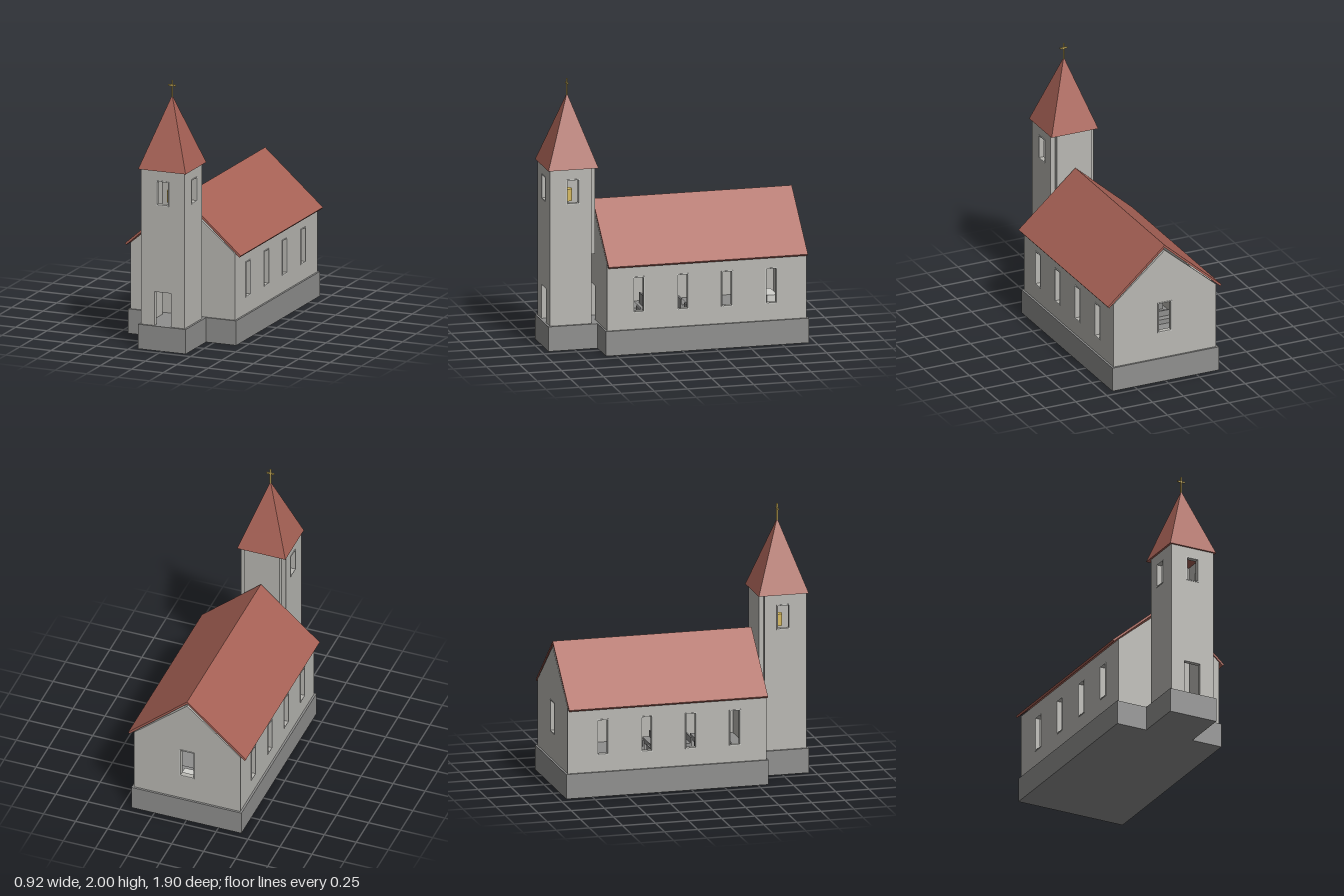
import * as THREE from 'three';

const mat = (name, color) => Object.assign(new THREE.MeshStandardMaterial({ color }), { name });

export function createModel() {
  const wall = mat('wall plaster', 0xb9b8b3);
  const stone = mat('foundation stone', 0x8f8f8e);
  const tile = mat('roof tile', 0xa86256);
  const gold = mat('gold', 0xd8bc62);
  const trim = mat('pale trim', 0xd2d2ce);

  const model = new THREE.Group();
  model.name = 'church';

  const add = (name, geometry, material, parent = model) => {
    const mesh = new THREE.Mesh(geometry, material);
    mesh.name = name;
    parent.add(mesh);
    return mesh;
  };
  // box given by its two corners
  const box = (name, material, [x0, y0, z0], [x1, y1, z1], parent) => {
    const mesh = add(name, new THREE.BoxGeometry(x1 - x0, y1 - y0, z1 - z0), material, parent);
    mesh.position.set((x0 + x1) / 2, (y0 + y1) / 2, (z0 + z1) / 2);
    return mesh;
  };
  const toPoints = (list) => list.map(([x, y]) => new THREE.Vector2(x, y));
  const rect = (x0, y0, x1, y1) => [[x0, y0], [x1, y0], [x1, y1], [x0, y1]];
  // flat panel with openings, extruded along z
  const panel = (outline, holes, depth) => {
    const shape = new THREE.Shape(toPoints(outline));
    for (const hole of holes) shape.holes.push(new THREE.Path(toPoints(hole)));
    return new THREE.ExtrudeGeometry(shape, { depth, bevelEnabled: false });
  };
  // thin surround for an opening
  const frame = (x0, y0, x1, y1) =>
    panel(rect(x0 - 0.007, y0 - 0.007, x1 + 0.007, y1 + 0.007), [rect(x0, y0, x1, y1)], 0.004);

  const T = 0.035; // wall thickness
  const FLOOR = 0.185;

  // Foundation: nave rectangle with the tower footing in front
  const footing = [[-0.19, -0.95], [0.19, -0.95], [0.19, -0.58], [0.43, -0.58],
    [0.43, 0.95], [-0.43, 0.95], [-0.43, -0.58], [-0.19, -0.58]];
  add('foundation', panel(footing, [], FLOOR).rotateX(-Math.PI / 2), stone);

  // Nave
  const nave = new THREE.Group();
  nave.name = 'nave';
  model.add(nave);
  const Z0 = -0.935, Z1 = 0.567, W = 0.415;
  const gable = [[W, FLOOR], [W, 0.685], [0, 1.04], [-W, 0.685], [-W, FLOOR]];
  // doorway gable is one outline, so the opening reaches the floor
  const doorGable = [...gable, [-0.065, FLOOR], [-0.065, 0.44], [0.065, 0.44], [0.065, FLOOR]];
  add('frontGable', panel(doorGable, [], T), wall, nave).position.z = Z1 - T;
  add('backGable', panel(gable, [rect(-0.05, 0.395, 0.05, 0.62)], T), wall, nave).position.z = Z0;
  add('backWindowFrame', frame(-0.05, 0.395, 0.05, 0.62), trim, nave).position.z = Z0 - 0.004;

  const windows = [0.33, -0.003, -0.337, -0.67].map((z) => [-z - 0.037, 0.318, -z + 0.037, 0.573]);
  for (const side of [1, -1]) {
    const sideWall = panel(rect(-Z1 + T, FLOOR, -Z0 - T, 0.685), windows.map((w) => rect(...w)), T);
    add('naveSideWall', sideWall.rotateY(Math.PI / 2), wall, nave).position.x = side > 0 ? W - T : -W;
    for (const w of windows) {
      add('naveWindowFrame', frame(...w).rotateY(Math.PI / 2), trim, nave)
        .position.x = side > 0 ? W : -W - 0.004;
    }
  }
  const roof = [[0, 1.08], [-0.46, 0.675], [-0.45, 0.662], [0, 1.06], [0.45, 0.662], [0.46, 0.675]];
  add('naveRoof', panel(roof, [], Z1 - Z0), tile, nave).position.z = Z0;

  // Interior: benches, altar step and altar
  for (let i = 0; i < 7; i++) {
    const z = 0.36 - i * 0.12;
    for (const [x0, x1] of [[-0.32, -0.05], [0.05, 0.32]]) {
      box('benchSeat', stone, [x0, FLOOR, z - 0.05], [x1, 0.22, z], nave);
      box('benchBack', stone, [x0, FLOOR, z], [x1, 0.265, z + 0.012], nave);
    }
  }
  box('altarStep', stone, [-0.25, FLOOR, -0.88], [0.25, 0.21, -0.6], nave);
  box('altar', trim, [-0.1, 0.21, -0.8], [0.1, 0.29, -0.72], nave);

  // Tower
  const tower = new THREE.Group();
  tower.name = 'tower';
  model.add(tower);
  const TX = 0.174, TF = 0.935, TB = 0.62, TOP = 1.357, CZ = 0.761;
  const towerFront = [[TX, FLOOR], [TX, TOP], [-TX, TOP], [-TX, FLOOR],
    [-0.065, FLOOR], [-0.065, 0.44], [0.065, 0.44], [0.065, FLOOR]];
  const belfry = [-0.043, 1.1, 0.043, 1.273];
  add('towerFrontWall', panel(towerFront, [rect(...belfry)], T), wall, tower).position.z = TF - T;
  add('belfryFrame', frame(...belfry), trim, tower).position.z = TF;
  for (const side of [1, -1]) {
    const sideWall = panel(rect(CZ - TF + T, FLOOR, CZ - TB, TOP), [rect(...belfry)], T);
    add('towerSideWall', sideWall.rotateY(Math.PI / 2), wall, tower)
      .position.set(side > 0 ? TX - T : -TX, 0, CZ);
    add('belfryFrame', frame(...belfry).rotateY(Math.PI / 2), trim, tower)
      .position.set(side > 0 ? TX : -TX - 0.004, 0, CZ);
  }
  box('towerBackWall', wall, [-TX + T, 0.7, TB - T], [TX - T, TOP, TB], tower);

  // Bell
  add('bell', new THREE.CylinderGeometry(0.037, 0.037, 0.09, 16), gold, tower).position.set(0, 1.125, CZ);

  // Spire: square pyramid
  const spire = new THREE.ConeGeometry(0.189 * Math.SQRT2, 0.533, 4, 1).rotateY(Math.PI / 4).toNonIndexed();
  spire.computeVertexNormals();
  add('spire', spire, tile, tower).position.set(0, 1.355 + 0.2665, CZ);

  // Cross
  box('crossPost', gold, [-0.005, 1.87, CZ - 0.005], [0.005, 2, CZ + 0.005], tower);
  box('crossArm', gold, [-0.03, 1.957, CZ - 0.005], [0.03, 1.967, CZ + 0.005], tower);

  return model;
}
